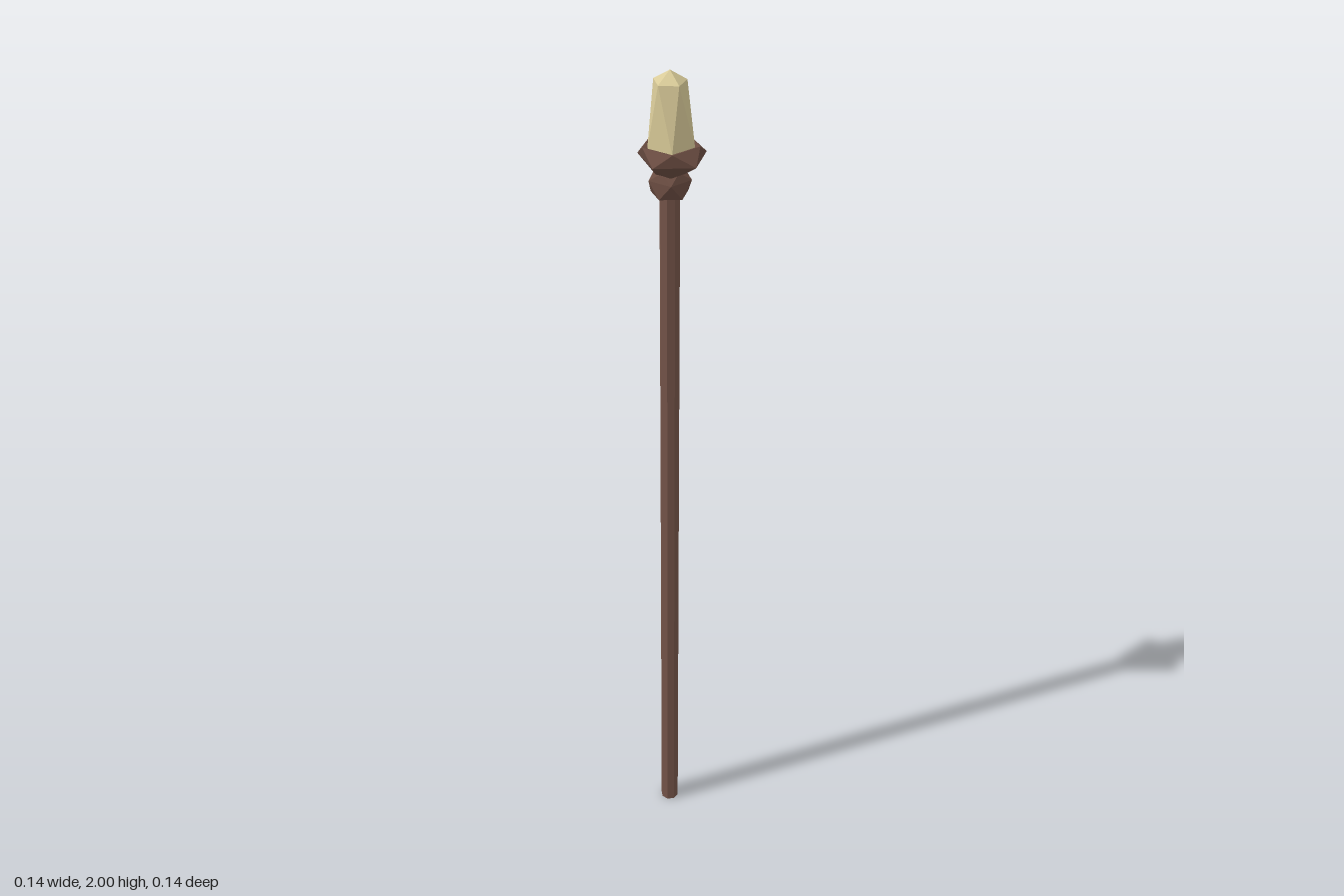
import * as THREE from 'three';

// Faceted solid from five-sided rings [y, radius, x offset, extra twist];
// each ring turns 36 degrees against the one below. Radius 0 makes a point.
function facetedSolid(rings, startDeg = 0) {
  const positions = [];
  const point = (j, i) => {
    const [y, r, dx = 0, twist = 0] = rings[j];
    const a = THREE.MathUtils.degToRad(startDeg + 36 * j + 72 * i + twist);
    return [dx + r * Math.cos(a), y, r * Math.sin(a)];
  };
  for (let j = 0; j < rings.length - 1; j++) {
    for (let i = 0; i < 5; i++) {
      if (rings[j][1] > 0) positions.push(...point(j, i), ...point(j + 1, i), ...point(j, i + 1));
      if (rings[j + 1][1] > 0) positions.push(...point(j + 1, i), ...point(j + 1, i + 1), ...point(j, i + 1));
    }
  }
  const geometry = new THREE.BufferGeometry();
  geometry.setAttribute('position', new THREE.Float32BufferAttribute(positions, 3));
  geometry.computeVertexNormals();
  return geometry;
}

export function createModel() {
  const model = new THREE.Group();
  model.name = 'staff';

  const material = (color) => new THREE.MeshStandardMaterial({ color, flatShading: true });
  const wood = material(0x745448);
  const darkWood = material(0x6a4c41);
  const crystal = material(0xd8ca98);

  const add = (name, geometry, mat) => {
    const mesh = new THREE.Mesh(geometry, mat);
    mesh.name = name;
    model.add(mesh);
  };

  // Long eight-sided pole
  const pole = new THREE.CylinderGeometry(0.022, 0.022, 1.75, 8);
  pole.translate(0, 0.875, 0);
  add('shaft', pole, wood);

  // Small knuckle at the top of the pole
  add('collar', facetedSolid([
    [1.735, 0], [1.735, 0.041], [1.77, 0.047], [1.79, 0.03], [1.79, 0],
  ], 144), darkWood);

  // Flared socket with a sunken top
  add('socket', facetedSolid([
    [1.775, 0], [1.78, 0.03], [1.817, 0.075, 0.006], [1.845, 0.062, 0.002], [1.825, 0],
  ], 108), darkWood);

  // Tapered crystal held in the socket
  add('crystal', facetedSolid([
    [1.815, 0], [1.84, 0.051, 0.002], [1.977, 0.036, 0, 8], [2, 0],
  ], 108), crystal);

  return model;
}
